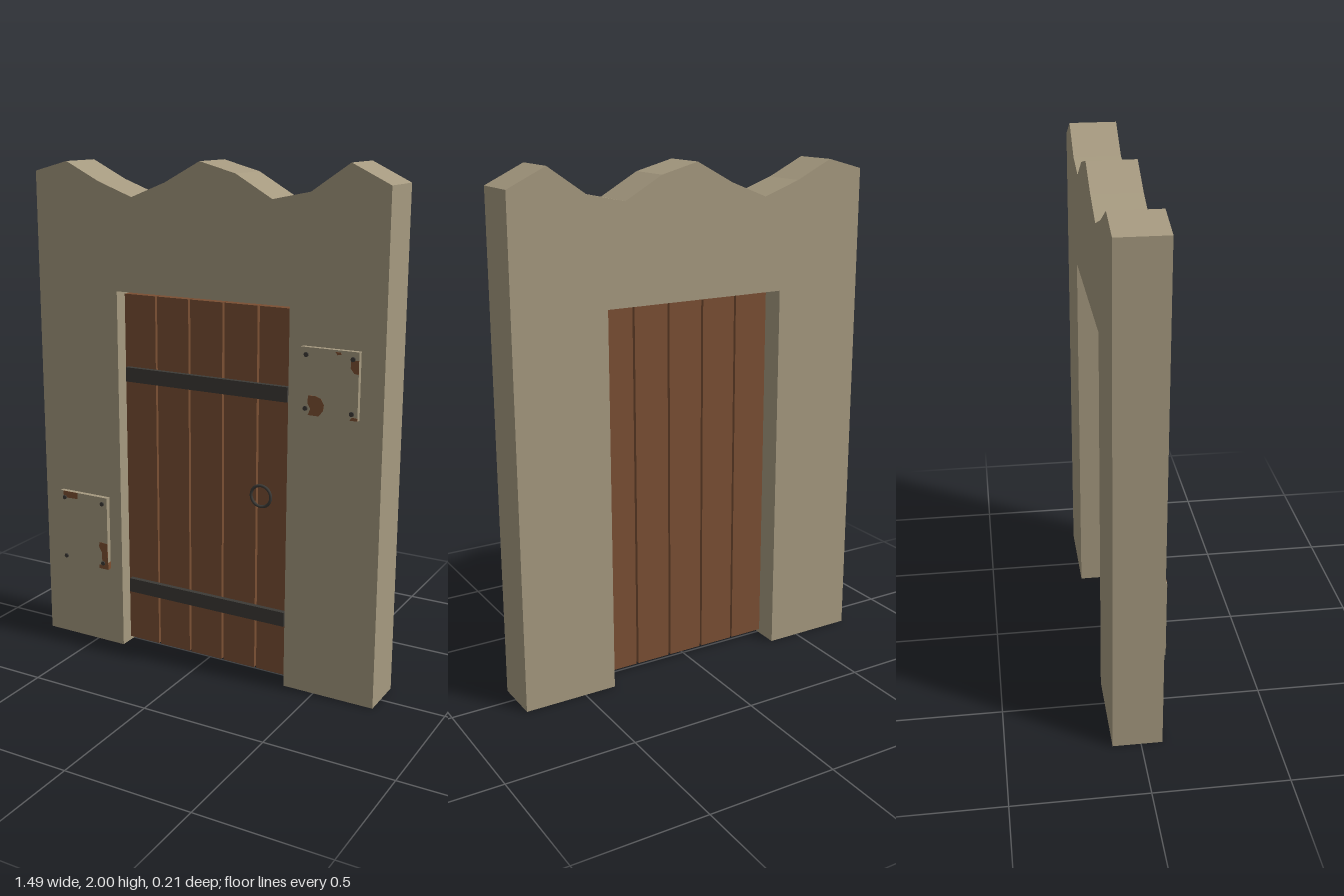
import * as THREE from 'three';

const mat = (name, color, extra = {}) => {
  const m = new THREE.MeshStandardMaterial({ color, ...extra });
  m.name = name;
  return m;
};

export function createModel() {
  const stone = mat('stone', 0xa5997f);
  const wood = mat('wood', 0x7a4f33);
  const iron = mat('iron', 0x3c3a36);
  const rust = mat('rust', 0x7d5032);
  const root = new THREE.Group();
  root.name = 'wallWithDoor';

  const add = (parent, name, geo, material, x = 0, y = 0, z = 0) => {
    const m = new THREE.Mesh(geo, material);
    m.name = name;
    m.position.set(x, y, z);
    parent.add(m);
    return m;
  };
  // box given by its limits
  const box = (parent, name, material, x0, x1, y0, y1, z0, z1) =>
    add(parent, name, new THREE.BoxGeometry(x1 - x0, y1 - y0, z1 - z0), material,
      (x0 + x1) / 2, (y0 + y1) / 2, (z0 + z1) / 2);
  const shapeOf = (pts) => new THREE.Shape(pts.map(([x, y]) => new THREE.Vector2(x, y)));

  // Wall with a broken top edge and a doorway
  const tops = [1.94, 1.98, 1.907, 1.853, 1.912, 1.992, 1.952, 1.867, 1.898, 2, 1.928];
  const outline = tops.map((y, i) => [-0.745 + i * 0.149, y]).reverse();
  const wallShape = shapeOf([
    [-0.745, 0], [-0.373, 0], [-0.373, 1.49], [0.373, 1.49], [0.373, 0], [0.745, 0], ...outline,
  ]);
  add(root, 'wall', new THREE.ExtrudeGeometry(wallShape, { depth: 0.186, bevelEnabled: false }),
    stone, 0, 0, -0.106);

  // Door: five planks, two straps, a ring handle
  const door = new THREE.Group();
  door.name = 'door';
  root.add(door);
  for (let i = 0; i < 5; i++) {
    const x = (i - 2) * 0.149;
    box(door, 'plank', wood, x - 0.07, x + 0.07, 0.02, 1.475, -0.02, 0.032);
  }
  for (const y of [0.262, 1.157]) {
    box(door, 'strap', iron, -0.355, 0.355, y - 0.029, y + 0.029, 0.032, 0.052);
  }
  add(door, 'ringHandle', new THREE.TorusGeometry(0.042, 0.006, 8, 24), iron, 0.25, 0.748, 0.05);

  // Riveted plates with rust patches on the face
  const plate = (name, x0, x1, y0, y1, patches) => {
    const g = new THREE.Group();
    g.name = name;
    root.add(g);
    box(g, 'plate', stone, x0, x1, y0, y1, 0.08, 0.1);
    for (const x of [x0 + 0.022, x1 - 0.022]) {
      for (const y of [y0 + 0.025, y1 - 0.027]) {
        const rivet = add(g, 'rivet', new THREE.CylinderGeometry(0.009, 0.009, 0.008, 8), iron, x, y, 0.102);
        rivet.rotation.x = Math.PI / 2;
      }
    }
    for (const pts of patches) {
      add(g, 'rustPatch', new THREE.ExtrudeGeometry(shapeOf(pts), { depth: 0.001, bevelEnabled: false }),
        rust, 0, 0, 0.1);
    }
    return g;
  };

  plate('upperPlate', 0.43, 0.655, 1.105, 1.355, [
    [[0.462, 1.106], [0.505, 1.106], [0.522, 1.128], [0.525, 1.15], [0.512, 1.172], [0.49, 1.18],
      [0.462, 1.178], [0.46, 1.15], [0.472, 1.13]],
    [[0.655, 1.275], [0.655, 1.325], [0.625, 1.322], [0.624, 1.295], [0.638, 1.277]],
    [[0.625, 1.106], [0.655, 1.106], [0.655, 1.116], [0.635, 1.118]],
    [[0.565, 1.348], [0.572, 1.337], [0.588, 1.34], [0.585, 1.348]],
  ]);
  const lower = plate('lowerPlate', -0.66, -0.43, 0.33, 0.64, [
    [[-0.645, 0.64], [-0.645, 0.622], [-0.625, 0.612], [-0.575, 0.614], [-0.575, 0.64]],
    [[-0.43, 0.33], [-0.43, 0.442], [-0.47, 0.445], [-0.472, 0.425], [-0.458, 0.4], [-0.46, 0.375],
      [-0.45, 0.352], [-0.472, 0.345], [-0.474, 0.33]],
  ]);
  // Rust running round the plate's lower corner
  box(lower, 'edgeRust', rust, -0.431, -0.429, 0.33, 0.36, 0.08, 0.1);
  return root;
}
